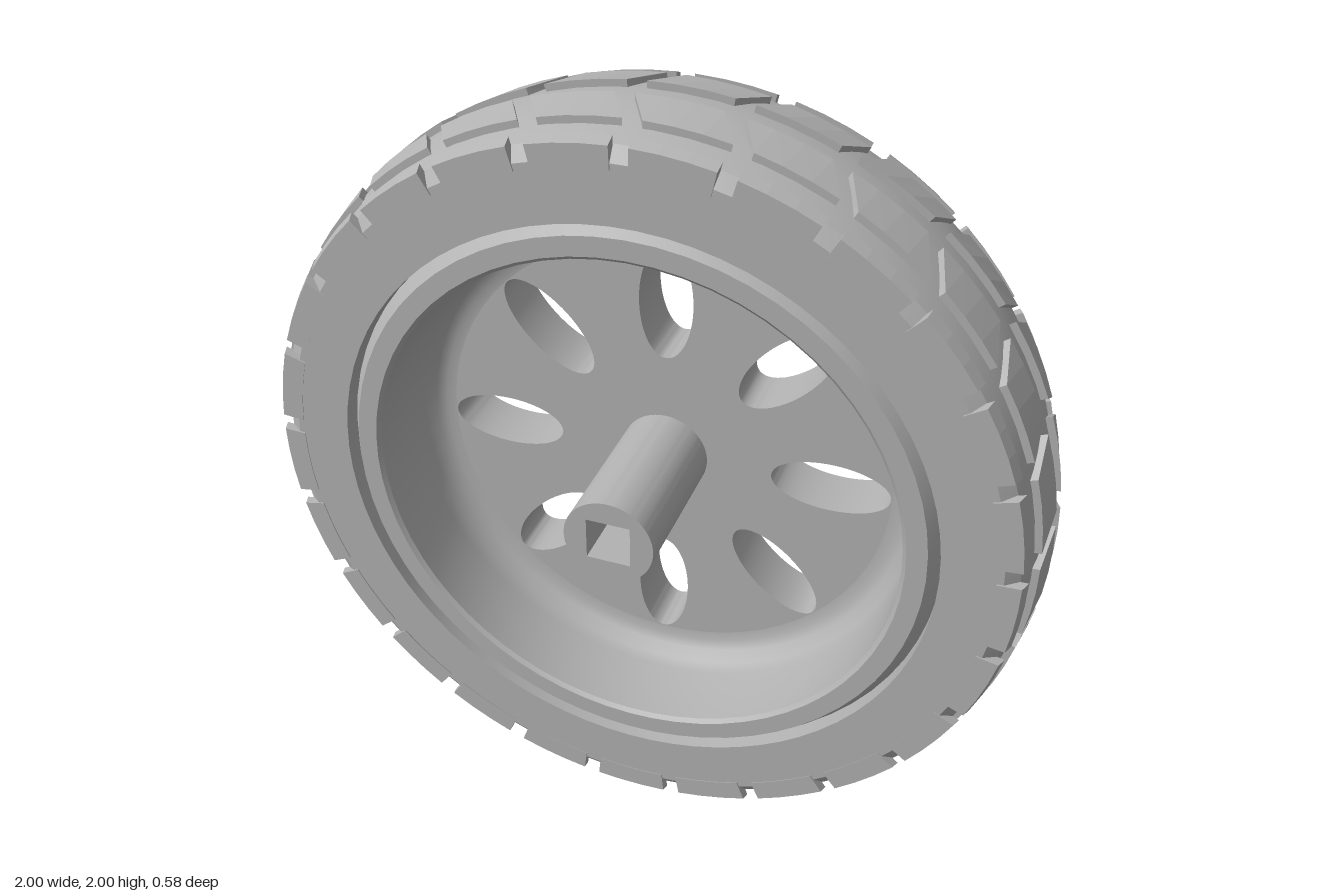
import * as THREE from 'three';
import { mergeGeometries, toCreasedNormals } from 'three/addons/utils/BufferGeometryUtils.js';

const BLOCKS = 25;
const PITCH = (Math.PI * 2) / BLOCKS;
const MID = -0.05; // middle plane of the tyre
const deg = Math.PI / 180;

// crowned tyre surface radius at depth z
const crown = (z) => 0.985 - 0.95 * (z - MID) ** 2;

// surface of revolution around z from [radius, z] points
function lathe(points, segments) {
  const g = new THREE.LatheGeometry(points.map((p) => new THREE.Vector2(p[0], p[1])), segments);
  g.rotateX(Math.PI / 2);
  return toCreasedNormals(g, 0.5);
}

// raised tread block between two depths, with a separate start angle at each depth
function treadBlock(zLow, zHigh, startLow, startHigh, span, rise, sink) {
  const steps = 3, pos = [], index = [];
  for (let i = 0; i <= steps; i++) {
    const corners = [[zLow, -sink, startLow], [zLow, rise, startLow], [zHigh, rise, startHigh], [zHigh, -sink, startHigh]];
    for (const [z, dr, start] of corners) {
      const a = start + (span * i) / steps, r = crown(z) + dr;
      pos.push(r * Math.cos(a), r * Math.sin(a), z);
    }
  }
  for (let i = 0; i < steps; i++) {
    for (let k = 0; k < 4; k++) {
      const a = i * 4 + k, b = i * 4 + ((k + 1) % 4);
      index.push(a, a + 4, b + 4, a, b + 4, b);
    }
  }
  const e = steps * 4;
  index.push(0, 1, 2, 0, 2, 3, e, e + 2, e + 1, e, e + 3, e + 2);
  const g = new THREE.BufferGeometry();
  g.setAttribute('position', new THREE.Float32BufferAttribute(pos, 3));
  g.setIndex(index);
  const flat = g.toNonIndexed();
  flat.computeVertexNormals();
  return flat;
}

// one row of blocks around the tyre; slants are angle offsets at each depth
function treadRow(zLow, zHigh, slantLow, slantHigh, gap, rise, sink) {
  const list = [];
  for (let i = 0; i < BLOCKS; i++) {
    const start = 4 * deg + i * PITCH + gap / 2;
    list.push(treadBlock(zLow, zHigh, start + slantLow, start + slantHigh, PITCH - gap, rise, sink));
  }
  return mergeGeometries(list);
}

export function createModel() {
  const grey = new THREE.MeshStandardMaterial({ color: 0xb2b2b2 });
  grey.name = 'grey';
  const model = new THREE.Group();
  model.name = 'wheel';
  const wheel = new THREE.Group();
  wheel.name = 'wheelBody';
  wheel.position.y = 1;
  model.add(wheel);
  const add = (name, geometry) => {
    const mesh = new THREE.Mesh(geometry, grey);
    mesh.name = name;
    wheel.add(mesh);
    return mesh;
  };

  // tyre carcass with crowned tread and flat sidewalls
  const profile = [[0.76, -0.275], [0.915, -0.275]];
  for (let i = 0; i <= 10; i++) {
    const z = -0.25 + i * 0.0395;
    profile.push([crown(z), z]);
  }
  profile.push([0.915, 0.17], [0.77, 0.17], [0.77, 0.1]);
  add('tyre', lathe(profile, 75));

  // chevron tread and shoulder blocks
  const slant = 3.2 * deg, gap = 2.7 * deg;
  add('frontTread', treadRow(-0.01, 0.09, slant, 0, gap, 0.017, 0.02));
  add('backTread', treadRow(-0.19, -0.085, 0, slant, gap, 0.017, 0.02));
  add('frontShoulder', treadRow(0.146, 0.174, 0, 0, gap, 0.018, 0.04));
  add('backShoulder', treadRow(-0.279, -0.25, 0, 0, gap, 0.018, 0.04));

  // rim barrel with raised back lip and inner fillet
  add('rim', lathe([
    [0.6, -0.262], [0.7, -0.262], [0.725, -0.268], [0.74, -0.29], [0.77, -0.29],
    [0.775, -0.26], [0.77, 0.12], [0.74, 0.165], [0.69, 0.165], [0.68, 0.155],
    [0.68, -0.03], [0.672, -0.065], [0.65, -0.095], [0.625, -0.107], [0.6, -0.11],
  ], 64));

  // disc with eight oval slots
  const face = new THREE.Shape();
  face.absarc(0, 0, 0.602, 0, Math.PI * 2, false);
  for (let i = 0; i < 8; i++) {
    const a = (i * Math.PI) / 4;
    const slot = new THREE.Path();
    slot.absellipse(0.442 * Math.cos(a), 0.442 * Math.sin(a), 0.155, 0.07, 0, Math.PI * 2, true, a);
    face.holes.push(slot);
  }
  const bore = new THREE.Path();
  bore.absarc(0, 0, 0.235, 0, Math.PI * 2, true);
  face.holes.push(bore);
  const disc = new THREE.ExtrudeGeometry(face, { depth: 0.152, bevelEnabled: false, curveSegments: 32 });
  disc.translate(0, 0, -0.262);
  add('disc', toCreasedNormals(disc, 0.5));

  // dished centre with a rounded cap on the back
  add('centreDish', lathe([
    [0, -0.265], [0.1, -0.262], [0.128, -0.252], [0.142, -0.232], [0.15, -0.212],
    [0.17, -0.202], [0.195, -0.212], [0.218, -0.24], [0.237, -0.262],
    [0.237, -0.11], [0.08, -0.11], [0.08, -0.15], [0, -0.15],
  ], 48));

  // axle hub with a square socket
  const ring = new THREE.Shape();
  ring.absarc(0, 0, 0.115, 0, Math.PI * 2, false);
  const s = 0.056;
  ring.holes.push(new THREE.Path([[-s, -s], [-s, s], [s, s], [s, -s]].map((p) => new THREE.Vector2(p[0], p[1]))));
  const hub = new THREE.ExtrudeGeometry(ring, { depth: 0.44, bevelEnabled: false, curveSegments: 40 });
  hub.translate(0, 0, -0.15);
  add('hub', toCreasedNormals(hub, 0.5));

  return model;
}
